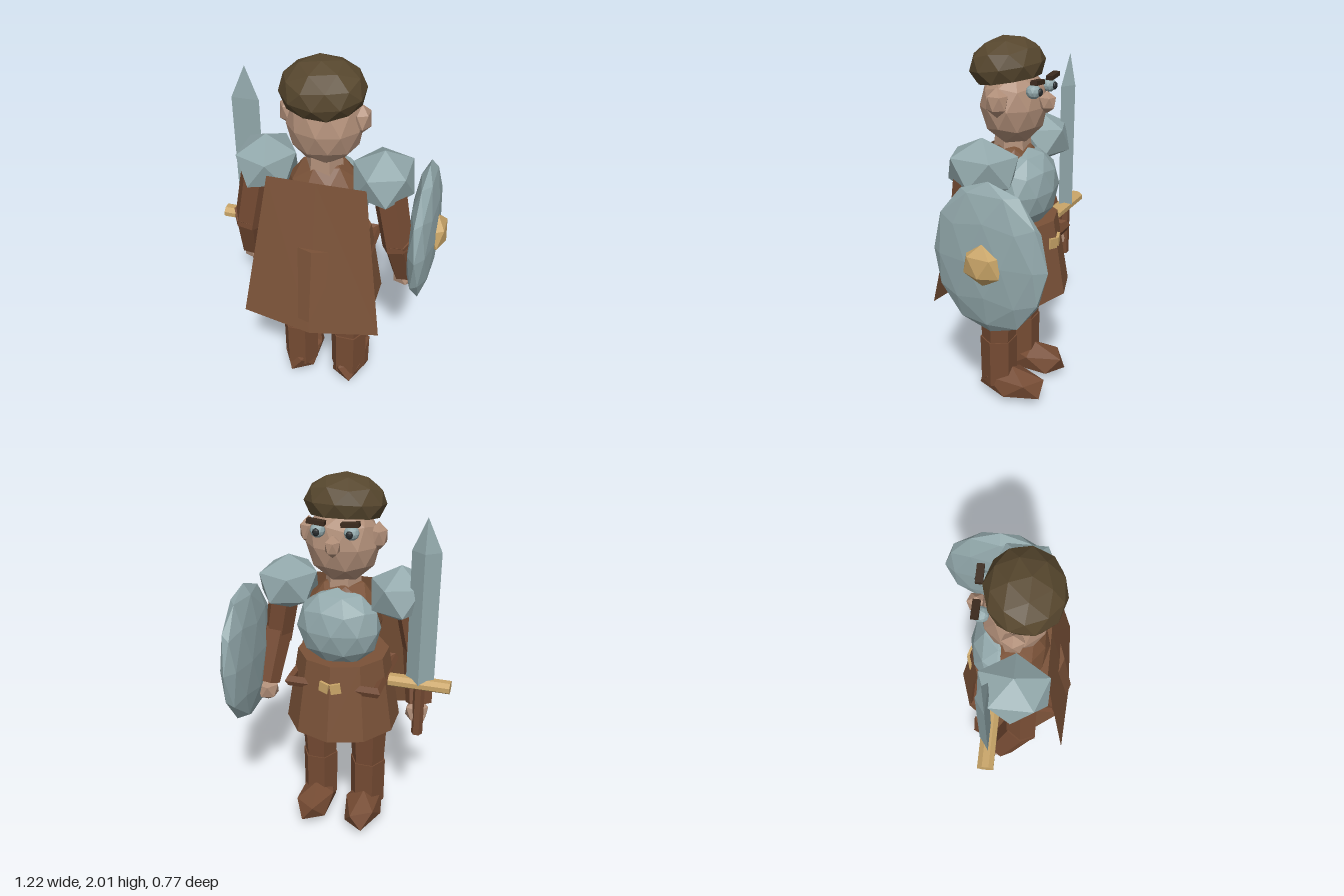
import * as THREE from 'three';

const mat = (name, color, extra = {}) => {
  const m = new THREE.MeshStandardMaterial({ color, flatShading: true, ...extra });
  m.name = name;
  return m;
};

export function createModel() {
  const cloth = mat('cloth brown', 0x7a5238);
  const capeCloth = mat('cape brown', 0x7a5238, { side: THREE.DoubleSide });
  const leather = mat('leather brown', 0x754b33);
  const skin = mat('skin', 0xb08e78);
  const metal = mat('metal', 0x92a8ab);
  const gold = mat('gold', 0xc9a568);
  const hair = mat('cap brown', 0x57472e);
  const brow = mat('dark brown', 0x3b2a1d);
  const pupil = mat('pupil', 0x262a2c);

  const model = new THREE.Group();
  model.name = 'warrior';
  const body = new THREE.Group();
  body.name = 'body';
  body.position.x = -0.012;
  model.add(body);

  const add = (parent, name, geo, material, pos = [0, 0, 0], rot = [0, 0, 0]) => {
    const m = new THREE.Mesh(geo, material);
    m.name = name;
    m.position.set(...pos);
    m.rotation.set(...rot);
    parent.add(m);
    return m;
  };
  // Icosahedron standing on a vertex, stretched to the given radii
  const ico = (rx, ry, rz, detail = 0) =>
    new THREE.IcosahedronGeometry(1, detail).rotateZ(Math.atan(2 / (1 + Math.sqrt(5)))).scale(rx, ry, rz);
  // Six-sided limb between two points
  const limb = (parent, name, a, b, ra, rb, material) => {
    const A = new THREE.Vector3(...a), B = new THREE.Vector3(...b);
    const d = A.clone().sub(B);
    const geo = new THREE.CylinderGeometry(ra, rb, d.length(), 6).rotateY(Math.PI / 2);
    const m = add(parent, name, geo, material, A.add(B).multiplyScalar(0.5).toArray());
    m.quaternion.setFromUnitVectors(new THREE.Vector3(0, 1, 0), d.normalize());
  };

  // Head and neck
  add(body, 'head', ico(0.19, 0.205, 0.168, 1), skin, [0, 1.67, 0.05]);
  limb(body, 'neck', [0, 1.57, 0.06], [0, 1.42, 0.06], 0.085, 0.1, skin);
  add(body, 'nose', ico(0.042, 0.056, 0.05), skin, [0, 1.7, -0.132]);

  // Cap with a flattened underside
  const capGeo = ico(0.208, 0.145, 0.188, 1);
  const p = capGeo.attributes.position;
  for (let i = 0; i < p.count; i++) p.setY(i, Math.max(p.getY(i), -0.065));
  capGeo.computeVertexNormals();
  add(body, 'cap', capGeo, hair, [0, 1.862, 0.085], [0.16, 0, 0]);

  // Torso, skirt of the tunic, breastplate
  add(body, 'torso', ico(0.21, 0.25, 0.17, 1), cloth, [0, 1.25, 0.055]);
  add(body, 'tunic', new THREE.CylinderGeometry(0.245, 0.313, 0.415, 10), cloth, [0, 0.8675, 0.065]);
  add(body, 'breastplate', ico(0.225, 0.215, 0.15, 1), metal, [0, 1.24, -0.025]);

  // Square belt whose corners stand out of the tunic
  const beltGeo = new THREE.TorusGeometry(0.335, 0.032, 5, 4)
    .rotateZ(Math.PI / 4).rotateX(Math.PI / 2).scale(1, 1, 0.85);
  add(body, 'belt', beltGeo, leather, [0, 0.945, 0.06]);

  // Cape, a bent sheet
  const cape = new THREE.BufferGeometry();
  cape.setAttribute('position', new THREE.Float32BufferAttribute([
    -0.25, 1.43, 0.22, 0, 1.43, 0.222, 0.25, 1.43, 0.22,
    -0.365, 0.64, 0.35, 0, 0.58, 0.372, 0.365, 0.64, 0.35], 3));
  cape.setIndex([0, 3, 4, 0, 4, 1, 1, 4, 5, 1, 5, 2]);
  cape.computeVertexNormals();
  add(body, 'cape', cape, capeCloth);

  // Paired parts
  for (const s of [-1, 1]) {
    const side = s > 0 ? 'left' : 'right';
    add(body, side + 'Ear', ico(0.05, 0.075, 0.062), skin, [s * 0.18, 1.715, 0.05]);
    add(body, side + 'Eye', ico(0.038, 0.036, 0.038, 1), metal, [s * 0.085, 1.765, -0.1]);
    add(body, side + 'Pupil', ico(0.018, 0.02, 0.012, 1), pupil, [s * 0.083, 1.765, -0.135]);
    add(body, side + 'Eyebrow', new THREE.BoxGeometry(0.09, 0.022, 0.035), brow, [s * 0.085, 1.813, -0.122], [0, 0, s * 0.1]);
    add(body, side + 'Buckle', new THREE.BoxGeometry(0.055, 0.055, 0.02), gold, [s * 0.03, 0.96, -0.19], [0, -s * 0.31, s * 0.15]);

    add(body, side + 'ShoulderPlate', ico(0.172, 0.15, 0.2), metal, [s * 0.3, 1.422, 0.065], [0, s > 0 ? 0 : Math.PI, 0]);
    limb(body, side + 'UpperArm', [s * 0.335, 1.4, 0.11], [s * 0.4, 1.06, 0.12], 0.085, 0.08, leather);
    limb(body, side + 'Forearm', [s * 0.395, 1.12, 0.12], [s * 0.43, 0.83, 0.02], 0.085, 0.07, leather);
    add(body, side + 'Hand', ico(0.068, 0.07, 0.07), skin, [s * 0.425, 0.79, 0]);

    const x = s * 0.143;
    limb(body, side + 'Leg', [x, 0.72, 0.07], [x, 0.34, 0.08], 0.112, 0.092, leather);
    limb(body, side + 'Boot', [x, 0.38, 0.08], [x, 0.1, 0.08], 0.102, 0.1, leather);
    add(body, side + 'Foot', ico(0.115, 0.1, 0.22), leather, [x, 0.1, 0], [0, s > 0 ? 0 : Math.PI, 0]);
  }

  // Sword: three-sided blade, guard and grip
  const sword = new THREE.Group();
  sword.name = 'sword';
  sword.position.set(-0.452, 0, -0.045);
  model.add(sword);
  const tri = (geo) => geo.rotateY(Math.PI).scale(1, 1, 0.4);
  add(sword, 'blade', tri(new THREE.CylinderGeometry(0.084, 0.084, 0.7, 3)), metal, [0, 1.34, -0.012]);
  add(sword, 'bladeTip', tri(new THREE.ConeGeometry(0.084, 0.17, 3)), metal, [0, 1.775, -0.012]);
  const guard = new THREE.CylinderGeometry(0.5, 0.5, 0.32, 8).rotateY(Math.PI / 8).rotateZ(Math.PI / 2).scale(1, 0.065, 0.09);
  add(sword, 'guard', guard, gold, [0, 0.982, 0]);
  limb(sword, 'grip', [0, 0.97, 0], [0, 0.68, 0], 0.03, 0.03, leather);

  // Shield with boss
  const shield = new THREE.Group();
  shield.name = 'shield';
  shield.position.set(0.49, 1.045, -0.078);
  model.add(shield);
  add(shield, 'shieldPlate', ico(0.075, 0.395, 0.31, 1), metal);
  add(shield, 'shieldBoss', ico(0.06, 0.11, 0.112), gold, [0.065, 0, 0]);

  return model;
}
